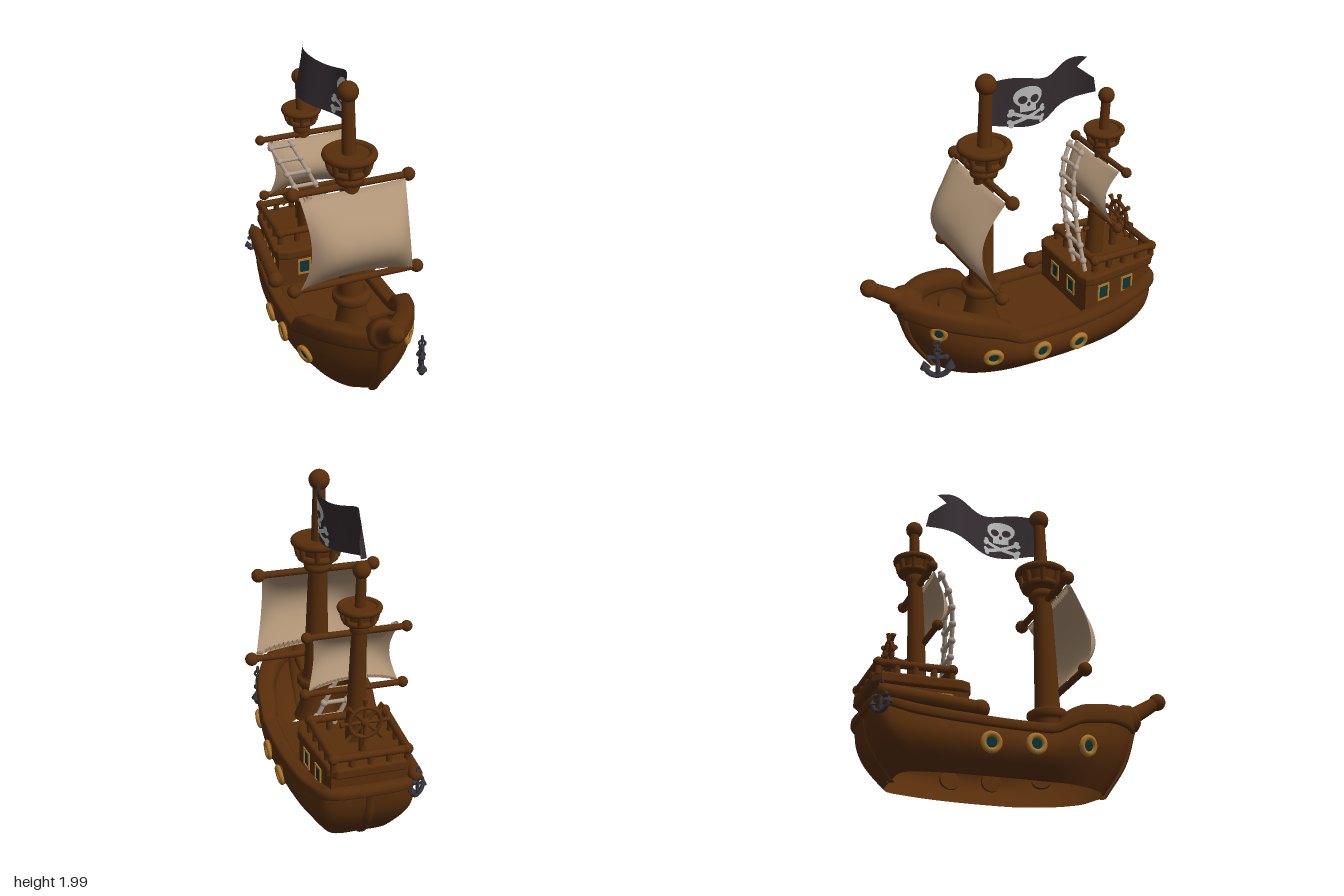
import * as THREE from 'three';

const V = (x, y, z) => new THREE.Vector3(x, y, z);
const { sin, cos, PI, sign } = Math;
const paint = (name, color) => new THREE.MeshStandardMaterial({ name, color, side: THREE.DoubleSide });

export function createModel() {
  const ship = new THREE.Group();
  ship.name = 'sailingShip';
  const wood = paint('wood', 0x582e0b), canvas = paint('canvas', 0xb09476), cloth = paint('blackCloth', 0x362e32);
  const iron = paint('iron', 0x35323a), gold = paint('gold', 0xa9742a), glass = paint('glass', 0x08343b);
  const rope = paint('rope', 0xad9987), bone = paint('bone', 0xbfbfbf);

  // helpers
  const add = (name, geo, mat, parent = ship) => {
    const m = new THREE.Mesh(geo, mat);
    m.name = name;
    parent.add(m);
    return m;
  };
  const group = (name, x, y, z) => {
    const g = new THREE.Group();
    g.name = name;
    g.position.set(x, y, z);
    ship.add(g);
    return g;
  };
  const ball = (name, p, r, mat = wood, parent = ship) => {
    const m = add(name, new THREE.SphereGeometry(r, 18, 12), mat, parent);
    m.position.copy(p);
    return m;
  };
  const aim = (m, a, b) => {
    m.position.copy(a);
    m.quaternion.setFromUnitVectors(V(0, 1, 0), b.clone().sub(a).normalize());
    return m;
  };
  const rod = (name, a, b, r, mat = wood, parent = ship, r2 = r) => {
    const len = a.distanceTo(b);
    return aim(add(name, new THREE.CylinderGeometry(r2, r, len, 12).translate(0, len / 2, 0), mat, parent), a, b);
  };
  const turned = (name, a, b, profile) =>
    aim(add(name, new THREE.LatheGeometry(profile.map(([h, r]) => new THREE.Vector2(r, h)), 24), wood), a, b);
  const grid = (nu, nv, fn, wrapU = false, wrapV = false) => {
    const pos = [], idx = [], cu = wrapU ? nu : nu + 1, cv = wrapV ? nv : nv + 1;
    for (let i = 0; i < cu; i++) for (let j = 0; j < cv; j++) pos.push(...fn(i / nu, j / nv).toArray());
    for (let i = 0; i < nu; i++) for (let j = 0; j < nv; j++) {
      const i2 = (i + 1) % cu, j2 = (j + 1) % cv;
      const a = i * cv + j, b = i2 * cv + j, c = i2 * cv + j2, d = i * cv + j2;
      idx.push(a, b, c, a, c, d);
    }
    const g = new THREE.BufferGeometry();
    g.setAttribute('position', new THREE.Float32BufferAttribute(pos, 3));
    g.setIndex(idx);
    g.computeVertexNormals();
    return g;
  };
  const slab = (name, outline, yTop, depth, bevel) => {
    const pts = [...outline.map(([z, w]) => [w, z]), ...outline.map(([z, w]) => [-w, z]).reverse()];
    const shape = new THREE.Shape(pts.map(([x, z]) => new THREE.Vector2(x, z)));
    const geo = new THREE.ExtrudeGeometry(shape, { depth, bevelEnabled: bevel > 0, bevelSize: bevel, bevelThickness: bevel, bevelSegments: 4 });
    add(name, geo.rotateX(PI / 2), wood).position.y = yTop;
  };

  // hull stations, stern to bow: top z, half width, y; bottom z, half width, y
  const half = [
    [-.945, .25, .37, -.77, .18, .01], [-.75, .31, .32, -.61, .235, .015], [-.4, .352, .29, -.35, .26, .02],
    [-.05, .362, .29, -.05, .265, .03], [.1, .362, .305, .08, .26, .035], [.17, .362, .34, .15, .255, .04],
    [.26, .355, .388, .22, .245, .045], [.36, .328, .418, .31, .22, .05], [.5, .268, .458, .4, .18, .055],
    [.62, .185, .482, .48, .12, .06], [.71, .09, .5, .53, .05, .07]];
  const ring = [[-.972, 0, .37, -.79, 0, .01], ...half, [.76, 0, .505, .55, 0, .07],
    ...half.slice().reverse().map(([a, w, b, c, v, d]) => [a, -w, b, c, -v, d])];
  const sheer = new THREE.CatmullRomCurve3(ring.map(r => V(r[1], r[2], r[0])), true);
  const keel = new THREE.CatmullRomCurve3(ring.map(r => V(r[4], r[5], r[3])), true);
  const hullPoint = (u, s) => {
    const p = keel.getPoint(u).lerp(sheer.getPoint(u), s), b = sin(PI * s);
    return V(p.x * (1 + .17 * b), p.y, p.z * (1 + .05 * b));
  };
  add('hull', grid(144, 14, hullPoint, true), wood);

  // gunwale: rounded rail that steps up and widens at the bow
  const section = [[.015, -.01], [.025, .2], [.025, .75], [.01, 1], [-.055, 1], [-.072, .75], [-.072, .2], [-.06, -.01]];
  add('gunwale', grid(192, 8, (u, v) => {
    const p = sheer.getPoint(u), t = sheer.getPoint((u + .002) % 1).sub(sheer.getPoint((u + .998) % 1)).setY(0).normalize();
    const [o, h] = section[Math.round(v * 8) % 8], rise = THREE.MathUtils.smoothstep(p.z, .09, .18);
    const wide = o < 0 ? o * (1 + .3 * rise) : o, tall = .06 + .058 * rise;
    return V(p.x + t.z * wide, p.y + h * tall, p.z - t.x * wide);
  }, true, true), wood);
  const post = (name, pts, r0, r1) => {
    const c = new THREE.CatmullRomCurve3(pts);
    add(name, grid(12, 12, (u, v) => {
      const r = r0 + (r1 - r0) * u;
      return c.getPoint(u).add(V(cos(v * 2 * PI) * r, 0, sin(v * 2 * PI) * r * .7));
    }, false, true), wood);
  };
  post('stemPost', [V(0, .54, .755), V(0, .3, .69), V(0, .07, .555)], .052, .03);
  post('sternPost', [V(0, .38, -.965), V(0, .2, -.925), V(0, .01, -.79)], .035, .03);
  slab('deck', [[.12, .365], [-.05, .365], [-.4, .355], [-.75, .31], [-.92, .25]], .295, .02, 0);
  // quarter rail log with rounded ends
  const logFront = V(-.325, .4, -.365), logBack = V(-.285, .44, -.93);
  rod('quarterLog', logFront, logBack, .045);
  ball('quarterLogEnd', logFront, .055);
  ball('quarterLogEnd', logBack, .045);

  // bowsprit
  const tip = V(-.03, .752, .945);
  turned('bowsprit', V(0, .44, .49), tip, [[0, 0], [.01, .02], [.1, .04], [.18, .05], [.2, .08], [.225, .096], [.31, .096],
    [.34, .08], [.355, .052], [.5, .044], [.553, .044]]);
  ball('bowspritKnob', tip, .055);
  ball('bowBlock', V(0, .56, .7), .088);

  // masts with crow's nests
  const foot = V(0, .28, .205), head = V(-.01, 1.935, .14);
  turned('mainMast', foot, head, [[0, .14], [.08, .11], [.23, .085], [.24, .115], [.255, .125], [.285, .125], [.3, .115], [.31, .08],
    [.7, .07], [1.06, .06], [1.07, .085], [1.1, .09], [1.12, .07], [1.25, .045], [1.66, .038]]);
  ball('mainMastKnob', head, .065);
  const foot2 = V(0, .55, -.65), head2 = V(-.01, 1.68, -.71);
  turned('rearMast', foot2, head2, [[0, .06], [.3, .055], [.74, .045], [.75, .055], [.79, .058], [.81, .045], [.88, .032], [1.13, .029]]);
  ball('rearMastKnob', head2, .052);
  const nest = (name, x, y, z, s) => {
    const g = group(name, x, y, z);
    g.scale.setScalar(s);
    const hoop = (n, r, t, h) => add(n, new THREE.TorusGeometry(r, t, 10, 32).rotateX(PI / 2), wood, g).position.y = h;
    hoop('nestRim', .145, .026, 0);
    hoop('nestBase', .108, .024, -.1);
    add('nestTub', new THREE.CylinderGeometry(.128, .105, .115, 28), wood, g).position.y = -.05;
    add('nestBottom', new THREE.CylinderGeometry(.1, .07, .03, 28), wood, g).position.y = -.115;
    for (let i = 0; i < 8; i++) {
      const a = i * PI / 4 + .3;
      rod('nestPost', V(cos(a) * .12, -.1, sin(a) * .12), V(cos(a) * .143, 0, sin(a) * .143), .018, wood, g);
    }
  };
  nest('mainCrowsNest', -.005, 1.535, .157, 1);
  nest('rearCrowsNest', -.005, 1.45, -.7, .77);

  // yards and billowing sails, each sail a thin closed lens
  const yard = (name, w, y, z, r, knob) => {
    rod(name, V(-w, y, z), V(w, y, z), r);
    for (const s of [-1, 1]) ball(name + 'Knob', V(s * w, y, z), knob);
  };
  const sail = (name, [y0, z0, w0], [y1, z1, w1], edge, belly, pinch) => add(name, grid(24, 40, (a, loop) => {
    const u = a * 2 - 1, v = loop < .5 ? loop * 2 : 2 - loop * 2, b = sin(PI * v), m = 1 - u * u, full = 1 - u ** 4;
    return V(u * (w0 + (w1 - w0) * v - pinch * b), y0 + (y1 - y0) * v + .05 * m * (1 - v) - .01 * m * v,
      z0 + (z1 - z0) * v + b * (edge + belly * full) + .01 * sin(2 * PI * loop) * (1 - u ** 8));
  }, false, true), canvas);
  yard('mainUpperYard', .375, 1.335, .175, .022, .043);
  yard('mainLowerYard', .41, .717, .265, .022, .043);
  sail('mainSail', [.725, .285, .375], [1.325, .2, .345], .105, .09, .04);
  yard('rearUpperYard', .3, 1.285, -.675, .019, .033);
  yard('rearLowerYard', .3, .9, -.63, .019, .033);
  sail('rearSail', [.905, -.615, .275], [1.28, -.65, .26], .06, .05, .035);

  // flag with emblem on both faces
  const flagX = (z, y) => {
    const t = Math.max(0, .11 - z) / .75;
    return -.01 + .075 * sin(2 * PI * t ** 1.22) + .2 * (y - 1.8) * t;
  };
  const flagEnd = v => v < .4 ? .64 - .05 * v : v < .72 ? .62 - (v - .4) * .31 : .52 + (v - .72) * .18;
  add('flag', grid(36, 25, (u, v) => {
    const z = .12 - u * (.12 + flagEnd(v));
    const lo = 1.66 - .035 * sin(PI * u) + .055 * u ** 4, hi = 1.945 + .02 * sin(u * 9 - .4), y = lo + (hi - lo) * v;
    return V(flagX(z, y), y, z);
  }), cloth);
  const disc = (rx, ry) => new THREE.RingGeometry(.001, 1, 24, 6).scale(rx, ry, 1);
  for (const side of [-1, 1]) {
    const patch = (name, geo, h, y0, off, mat) => {
      const p = geo.attributes.position;
      for (let i = 0; i < p.count; i++) {
        const z = -.105 - h - p.getX(i), y = y0 + p.getY(i);
        p.setXYZ(i, flagX(z, y) + side * off, y, z);
      }
      geo.computeVertexNormals();
      add(name, geo, mat);
    };
    patch('emblemSkull', disc(.093, .07), 0, 1.835, .005, bone);
    patch('emblemJaw', new THREE.PlaneGeometry(.105, .06, 10, 4), 0, 1.768, .0055, bone);
    patch('emblemNose', disc(.011, .014), 0, 1.787, .008, cloth);
    for (const s of [-1, 1]) {
      patch('emblemEye', disc(.028, .026), s * .038, 1.82, .008, cloth);
      patch('emblemBone', new THREE.PlaneGeometry(.22, .024, 20, 2).rotateZ(s * .33), 0, 1.7, .005 + s * .0005, bone);
      for (const e of [-1, 1]) for (const k of [-1, 1])
        patch('emblemBoneEnd', disc(.017, .016), e * .105 + k * s * -.004, 1.7 + e * s * .036 + k * .012, .0065, bone);
    }
  }

  // stern cabin, roof and upper rail
  slab('cabin', [[-.42, .28], [-.94, .235]], .53, .26, 0);
  slab('cabinRoof', [[-.41, .22], [-.43, .27], [-.47, .285], [-.93, .24], [-.965, .2]], .56, .035, .018);
  const corners = [[.235, -.51], [.225, -.955], [-.225, -.955], [-.235, -.51]];
  corners.forEach(([x, z], i) => {
    const [x2, z2] = corners[(i + 1) % 4], tilt = q => .655 + (q + .51) * .04;
    rod('upperRail', V(x, tilt(z), z), V(x2, tilt(z2), z2), .024);
    ball('railKnob', V(x, tilt(z), z), .033);
    for (let k = 0; k < 4; k++) {
      const px = x + (x2 - x) * k / 4, pz = z + (z2 - z) * k / 4;
      rod('railPost', V(px, .56, pz), V(px, .64, pz), .02);
    }
  });

  // cabin windows
  const pane = (x, y, z, turn) => {
    const g = group('window', x, y, z), rect = (C, w, h) => new C([[-w, -h], [w, -h], [w, h], [-w, h]].map(q => new THREE.Vector2(...q)));
    g.rotation.y = turn;
    const frame = rect(THREE.Shape, .046, .058);
    frame.holes.push(rect(THREE.Path, .033, .045));
    add('windowFrame', new THREE.ExtrudeGeometry(frame, { depth: .009, bevelEnabled: false }), gold, g);
    add('windowGlass', new THREE.BoxGeometry(.07, .094, .006), glass, g);
  };
  for (const s of [-1, 1]) {
    pane(s * .27, .425, -.56, s * (PI / 2 + .086));
    pane(s * .254, .425, -.75, s * (PI / 2 + .086));
    pane(s * .1, .425, -.42, 0);
  }

  // portholes set on the hull side, with a wooden backing inside
  const porthole = (side, z, y, r) => {
    let best = 9, bu = 0, bs = 0;
    for (let u = .01; u < .49; u += .003) for (let s = .05; s < 1; s += .03) {
      const p = hullPoint(u, s), d = Math.hypot(p.z - z, p.y - y);
      if (d < best) [best, bu, bs] = [d, u, s];
    }
    const p = hullPoint(bu, bs);
    const n = hullPoint(bu + .004, bs).sub(p).cross(hullPoint(bu, bs + .01).sub(p)).normalize();
    n.multiplyScalar(sign(n.x));
    const g = group('porthole', side * p.x, y, z);
    g.quaternion.setFromUnitVectors(V(0, 0, 1), V(side * n.x, n.y, n.z));
    const plate = (name, rad, depth, at, mat) =>
      add(name, new THREE.CylinderGeometry(rad, rad, depth, 28).rotateX(PI / 2), mat, g).position.z = at;
    add('portholeRing', new THREE.TorusGeometry(r * .76, r * .27, 10, 28), gold, g).position.z = .008;
    plate('portholeBacking', r * .98, .026, -.013, wood);
    plate('portholeGlass', r * .62, .008, .008, glass);
  };
  for (const s of [-1, 1]) for (const [z, y] of [[.295, .255], [-.04, .21], [-.315, .185]]) porthole(s, z, y, .064);
  porthole(1, .595, .445, .055);

  // anchors
  const anchor = (x, y, z, turn, scale) => {
    const g = group('anchor', x, y, z);
    g.rotation.y = turn;
    g.scale.setScalar(scale);
    rod('shank', V(0, -.09, 0), V(0, .075, 0), .016, iron, g);
    rod('stock', V(-.055, .045, 0), V(.055, .045, 0), .014, iron, g);
    add('arms', new THREE.TorusGeometry(.08, .018, 10, 20, PI).rotateZ(PI), iron, g).position.y = -.015;
    for (const s of [-1, 1]) {
      ball('stockKnob', V(s * .055, .045, 0), .02, iron, g);
      rod('fluke', V(s * .08, -.03, 0), V(s * .088, .025, 0), .034, iron, g, .002);
    }
    for (let i = 0; i < 3; i++) {
      const link = add('chainLink', new THREE.TorusGeometry(.02, .008, 8, 16), iron, g);
      link.position.y = .09 + i * .03;
      link.rotation.y = i * PI / 2;
    }
  };
  anchor(.285, .29, .65, 1.18, .97);
  anchor(-.295, .375, -.95, .6, .7);

  // rope ladder
  const line = new THREE.CatmullRomCurve3([V(-.19, 1.28, -.615), V(-.14, 1.17, -.535), V(-.09, 1.06, -.495), V(.02, .82, -.465), V(.14, .58, -.455)]);
  const sideLine = s => new THREE.CatmullRomCurve3(line.getPoints(12).map(p => p.add(V(s * .07, 0, 0))));
  for (const s of [-1, 1]) add('ladderRope', new THREE.TubeGeometry(sideLine(s), 30, .014, 8), rope);
  for (let i = 0; i < 8; i++) {
    const p = line.getPointAt((i + .3) / 8), a = p.clone().add(V(-.072, 0, 0)), b = p.clone().add(V(.072, 0, 0));
    rod('ladderRung', a, b, .013, rope);
    ball('ladderKnot', a, .023, rope);
    ball('ladderKnot', b, .023, rope);
  }

  // steering wheel
  const wheel = group('steeringWheel', 0, .785, -.84);
  add('wheelRim', new THREE.TorusGeometry(.095, .014, 10, 32), wood, wheel);
  ball('wheelHub', V(0, 0, 0), .03, wood, wheel);
  for (let i = 0; i < 8; i++) {
    const a = i * PI / 4, at = r => V(cos(a) * r, sin(a) * r, 0);
    rod('spoke', V(0, 0, 0), at(.12), .011, wood, wheel);
    rod('spokeHandle', at(.11), at(.15), .01, wood, wheel, .017);
  }
  rod('wheelAxle', V(0, .75, -.57), V(0, .785, -.88), .012);
  rod('wheelStand', V(0, .56, -.8), V(0, .78, -.8), .024);
  return ship;
}
